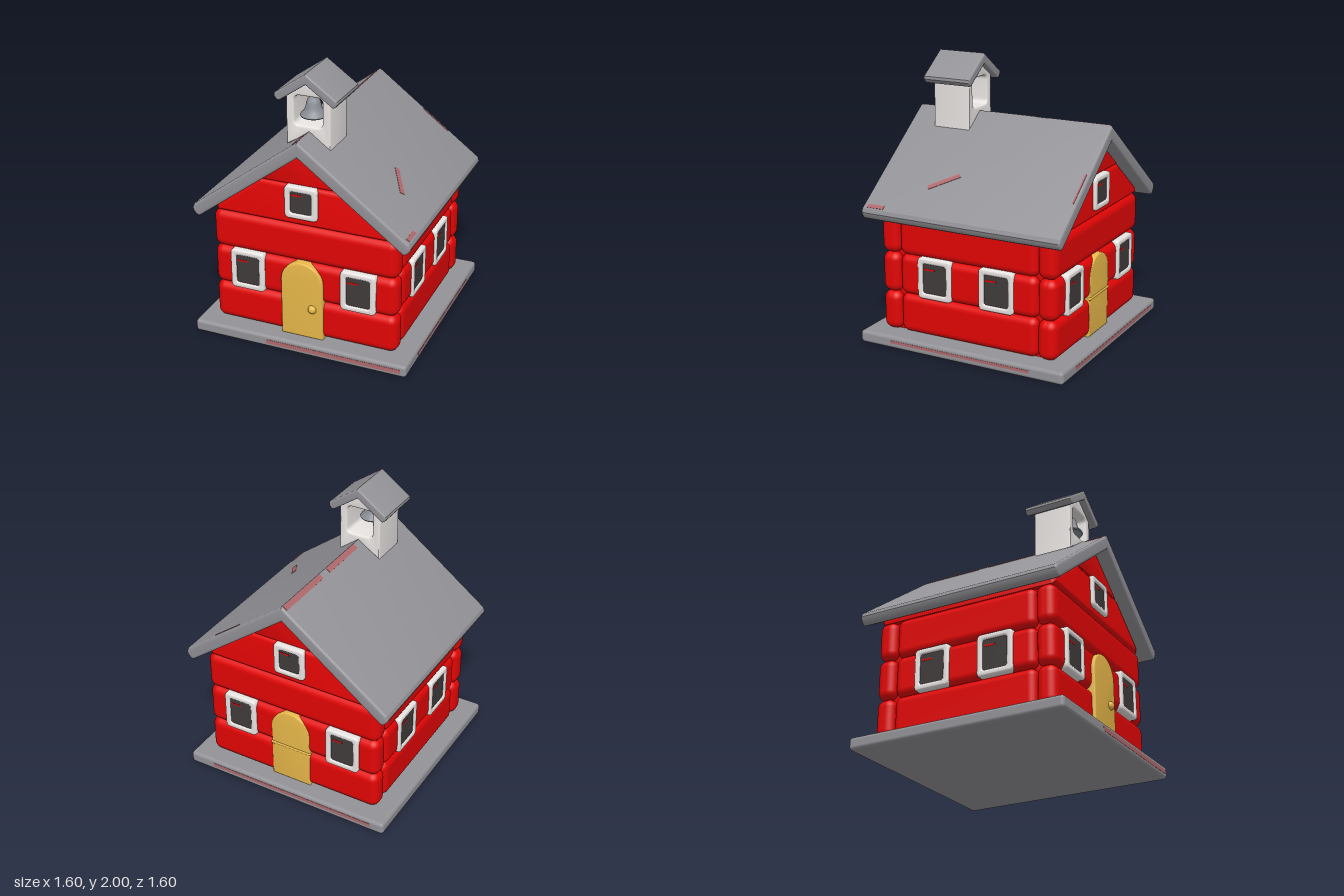
import * as THREE from 'three';
import { toCreasedNormals } from 'three/addons/utils/BufferGeometryUtils.js';
import { RoundedBoxGeometry } from 'three/addons/geometries/RoundedBoxGeometry.js';

const mat = (name, color) => {
  const m = new THREE.MeshStandardMaterial({ color });
  m.name = name;
  return m;
};

export function createModel() {
  const root = new THREE.Group();
  root.name = 'schoolhouse';
  const red = mat('red timber', 0xe20505);
  const grey = mat('grey slate', 0x939297);
  const steel = mat('bell metal', 0x8b8f96);
  const white = mat('white trim', 0xf2eeec);
  const gold = mat('golden door', 0xe8b84a);
  const dark = mat('dark glass', 0x403b3b);
  const worn = mat('worn red paint', 0xb0686c);

  const add = (name, geo, material, x = 0, y = 0, z = 0, parent = root) => {
    const mesh = new THREE.Mesh(geo, material);
    mesh.name = name;
    mesh.position.set(x, y, z);
    parent.add(mesh);
    return mesh;
  };
  const block = (w, h, d, r) => new RoundedBoxGeometry(w, h, d, 4, r);

  // Extrusion of an outline from z0 to z1 with rounded rims that stay inside the outline
  const slab = (shape, z0, z1, b) => {
    const g = new THREE.ExtrudeGeometry(shape, {
      depth: z1 - z0 - 2 * b, bevelEnabled: true, bevelThickness: b,
      bevelSize: b, bevelOffset: -b, bevelSegments: 4, curveSegments: 12,
    });
    g.translate(0, 0, z0 + b);
    return toCreasedNormals(g, 0.45);
  };
  // Mirrors a right-hand half outline (listed bottom to top) across x = 0
  const mirrored = (half) => new THREE.Shape([
    ...half,
    ...half.slice().reverse().filter(([x]) => x > 0).map(([x, y]) => [-x, y]),
  ].map(([x, y]) => new THREE.Vector2(x, y)));
  const roundRect = (w, h, r, cy = 0, Type = THREE.Shape) => {
    const s = new Type(), x = w / 2, y0 = cy - h / 2, y1 = cy + h / 2;
    s.moveTo(-x + r, y0);
    s.lineTo(x - r, y0).quadraticCurveTo(x, y0, x, y0 + r);
    s.lineTo(x, y1 - r).quadraticCurveTo(x, y1, x - r, y1);
    s.lineTo(-x + r, y1).quadraticCurveTo(-x, y1, -x, y1 - r);
    s.lineTo(-x, y0 + r).quadraticCurveTo(-x, y0, -x + r, y0);
    return s;
  };

  // Base slab, with worn paint along its edges
  add('base', block(1.6, 0.09, 1.6, 0.025), grey, 0, 0.045, 0);
  add('baseFrontWear', new THREE.BoxGeometry(1.0, 0.03, 0.006), worn, 0.26, 0.045, 0.799);
  add('baseBackWear', new THREE.BoxGeometry(1.3, 0.025, 0.006), worn, -0.05, 0.05, -0.799);
  add('baseRightWear', new THREE.BoxGeometry(0.006, 0.02, 1.1), worn, 0.799, 0.05, 0);

  // Wall core and three courses of fat logs
  add('wallCore', new THREE.BoxGeometry(1.24, 0.9, 1.24), red, 0, 0.53, 0);
  for (const [y0, y1] of [[0.09, 0.375], [0.37, 0.665], [0.66, 0.945]]) {
    const h = y1 - y0, y = (y0 + y1) / 2;
    for (const s of [1, -1]) {
      add('endLog', block(1.37, h, 0.145, 0.06), red, 0, y, s * 0.6125);
      add('sideLog', block(0.145, h, 1.08, 0.055), red, s * 0.605, y, 0);
    }
  }

  // Gable: a trapezoid course and a triangular peak, running the whole length
  const lowerGable = mirrored([[0.655, 0.94], [0.655, 0.985], [0.32, 1.235]]);
  add('lowerGable', slab(lowerGable, -0.68, 0.68, 0.035), red);
  const peak = mirrored([[0.325, 1.235], [0, 1.482]]);
  add('gablePeak', slab(peak, -0.67, 0.67, 0.025), red);

  // Main roof
  const roof = mirrored([
    [0, 1.475], [0.735, 0.922], [0.752, 0.914], [0.772, 0.925], [0.79, 0.948],
    [0.796, 0.968], [0.786, 0.997], [0, 1.587],
  ]);
  add('roof', slab(roof, -0.765, 0.765, 0.018), grey);

  // Worn paint on the roof: x, z, width down the slope, length, turn on the slope
  const wear = [
    [-0.018, -0.51, 0.04, 0.46, 0], [-0.018, 0.0, 0.04, 0.38, 0], [-0.022, 0.675, 0.05, 0.12, 0],
    [0.53, 0.25, 0.035, 0.24, 0.62], [0.765, 0.66, 0.03, 0.13, 0], [0.45, -0.738, 0.25, 0.012, 0],
  ];
  for (const [x, z, w, l, turn] of wear) {
    const patch = add('roofWear', new THREE.BoxGeometry(w, 0.006, l), worn, x, 1.587 - 0.751 * Math.abs(x), z);
    patch.rotation.set(0, turn, -Math.sign(x) * Math.atan(0.751), 'ZYX');
  }

  // Windows: raised frame with a thin pane and a streak of wall paint on the glass
  const addWindow = (w, h, x, y, z, turn) => {
    const g = new THREE.Group();
    g.name = 'window';
    const frame = roundRect(w, h, 0.035);
    frame.holes.push(roundRect(w - 0.085, h - 0.085, 0.02, 0, THREE.Path));
    add('windowFrame', slab(frame, -0.06, 0.02, 0.014), white, 0, 0, 0, g);
    add('windowPane', new THREE.BoxGeometry(w - 0.07, h - 0.07, 0.008), dark, 0, 0, 0.005, g);
    add('paintStreak', new THREE.BoxGeometry(w * 0.3, 0.012, 0.004), red, -w * 0.15, h * 0.22, 0.009, g);
    g.position.set(x, y, z);
    g.rotation.y = turn;
    root.add(g);
  };
  for (const s of [1, -1]) {
    const turn = s > 0 ? 0 : Math.PI;
    for (const x of [-0.418, 0.408]) addWindow(0.258, 0.3, x, 0.522, s * 0.686, turn);
    addWindow(0.24, 0.24, -0.007, 1.117, s * 0.683, turn);
    for (const z of [0.247, -0.237]) addWindow(0.268, 0.3, s * 0.673, 0.522, z, s * Math.PI / 2);
  }

  // Arched doors
  const door = new THREE.Shape();
  door.moveTo(-0.155, 0.09);
  door.lineTo(0.155, 0.09);
  door.lineTo(0.155, 0.52);
  door.absellipse(0, 0.52, 0.155, 0.147, 0, Math.PI, false);
  door.lineTo(-0.155, 0.09);
  add('frontDoor', slab(door, 0.6, 0.71, 0.012), gold, -0.005);
  add('doorKnob', new THREE.SphereGeometry(0.032, 20, 14), gold, 0.075, 0.325, 0.705);
  add('backDoor', slab(door, -0.69, -0.6, 0.01), gold);
  add('backDoorRail', block(0.32, 0.02, 0.03, 0.008), gold, 0, 0.372, -0.682);

  // Bell tower with an opening through it, seated on the ridge
  const cx = -0.007;
  const tower = mirrored([[0, 1.565], [0.16, 1.468], [0.16, 1.845], [0, 1.95]]);
  tower.holes.push(roundRect(0.205, 0.21, 0.04, 1.723, THREE.Path));
  add('bellTower', slab(tower, 0.268, 0.555, 0.014), white, cx);
  const cap = mirrored([
    [0, 1.925], [0.184, 1.796], [0.197, 1.791], [0.214, 1.802], [0.227, 1.82],
    [0.225, 1.841], [0, 2],
  ]);
  add('towerRoof', slab(cap, 0.228, 0.6, 0.012), grey, cx);

  // Bell
  const profile = [
    [0, 1.67], [0.085, 1.67], [0.091, 1.678], [0.085, 1.69], [0.066, 1.708], [0.054, 1.735],
    [0.049, 1.765], [0.041, 1.787], [0.025, 1.803], [0, 1.81],
  ].map(([r, y]) => new THREE.Vector2(r, y));
  add('bell', toCreasedNormals(new THREE.LatheGeometry(profile, 28), 0.8), steel, cx + 0.005, 0, 0.475);

  return root;
}
